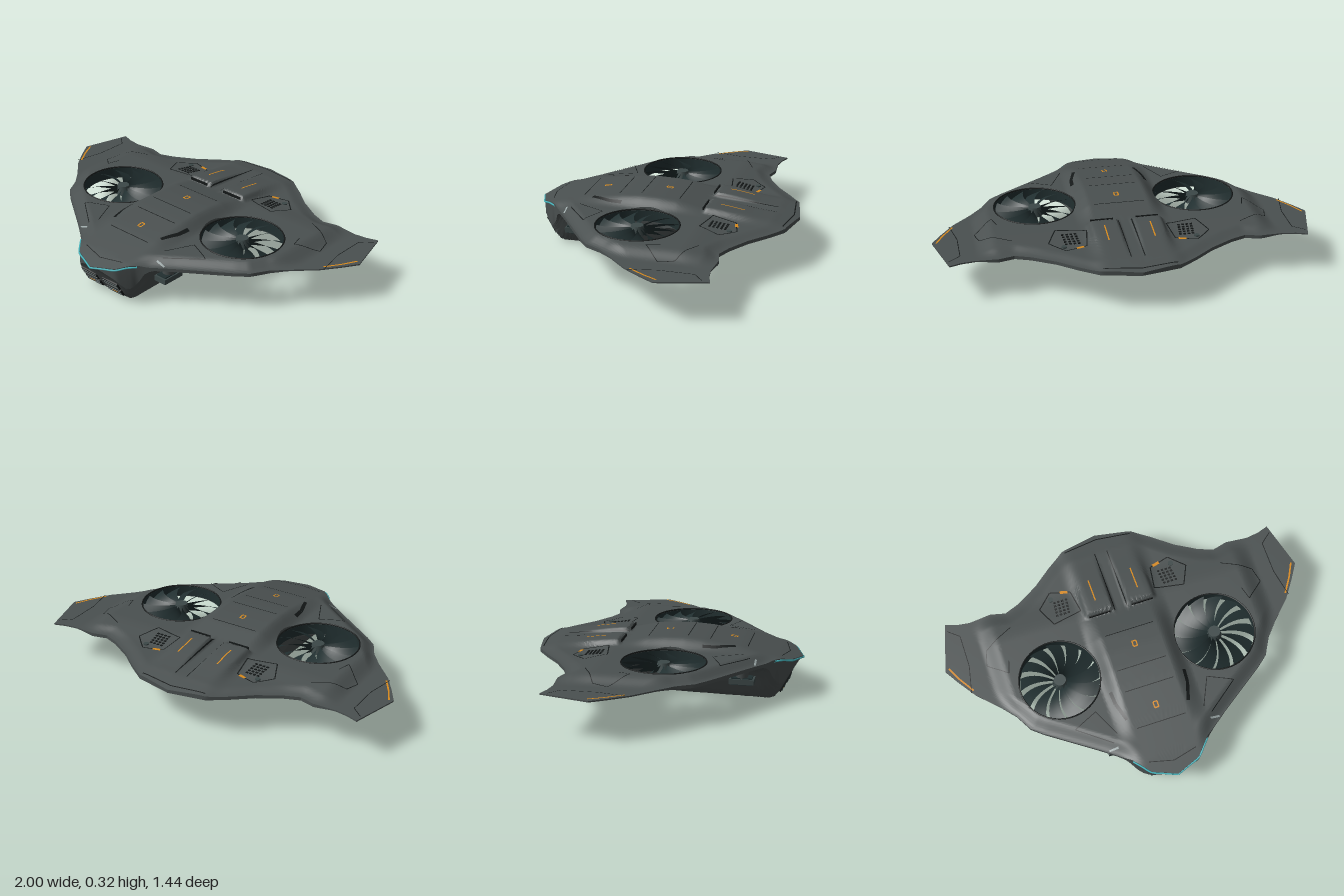
import * as THREE from 'three';
import { toCreasedNormals } from 'three/addons/utils/BufferGeometryUtils.js';

const paint = (name, color, side = THREE.FrontSide) => {
  const m = new THREE.MeshStandardMaterial({ color, side });
  m.name = name;
  return m;
};
const hullGrey = paint('hull grey', 0x4a5050);
const seamBlack = paint('seam black', 0x141818, THREE.DoubleSide);
const bladeTeal = paint('blade dark teal', 0x212f30, THREE.DoubleSide);
const podGrey = paint('pod slate', 0x3c4848);
const markOrange = paint('marking orange', 0xd88a1c, THREE.DoubleSide);
const lightCyan = paint('light cyan', 0x45b4bc, THREE.DoubleSide);
const paleGrey = paint('pale grey', 0x98a4a4, THREE.DoubleSide);

// Left half of the plan outline, nose to tail, as [x, z]
const OUTLINE = [[0, 0.71], [0.13, 0.66], [0.21, 0.57], [0.35, 0.465], [0.6, 0.29], [0.66, 0.24], [0.71, 0.15],
  [0.78, 0.07], [0.88, -0.03], [0.95, -0.13], [1, -0.21], [0.965, -0.34], [0.93, -0.47], [0.87, -0.45], [0.8, -0.44],
  [0.68, -0.45], [0.6, -0.43], [0.52, -0.46], [0.4, -0.53], [0.3, -0.61], [0.2, -0.68], [0, -0.72]];
const FAN = { x: 0.435, z: 0.04, r: 0.22 };

const smooth = (a, b, v) => {
  const t = Math.min(1, Math.max(0, (v - a) / (b - a)));
  return t * t * (3 - 2 * t);
};
const mix = (a, b, t) => a + (b - a) * t;
const table = (rows, v) => {
  if (v <= rows[0][0]) return rows[0][1];
  for (let i = 1; i < rows.length; i++) {
    const [a, p] = rows[i - 1], [b, q] = rows[i];
    if (v <= b) return mix(p, q, (v - a) / (b - a));
  }
  return rows[rows.length - 1][1];
};
const edgeDistance = (x, z) => {
  let best = 9;
  for (let i = 1; i < OUTLINE.length; i++) {
    const [ax, az] = OUTLINE[i - 1], [bx, bz] = OUTLINE[i];
    const dx = bx - ax, dz = bz - az;
    const t = Math.min(1, Math.max(0, ((x - ax) * dx + (z - az) * dz) / (dx * dx + dz * dz)));
    best = Math.min(best, Math.hypot(x - ax - dx * t, z - az - dz * t));
  }
  return best;
};

// Upper skin height: raised spine, flat wings, thin tips, twin rear humps
const SPINE = [[-0.72, 0.222], [-0.6, 0.247], [-0.24, 0.272], [-0.1, 0.305], [0, 0.313], [0.1, 0.315], [0.2, 0.308],
  [0.4, 0.28], [0.6, 0.235], [0.72, 0.2]];
function topY(x, z) {
  const ax = Math.abs(x), spine = table(SPINE, z);
  let wing = mix(0.222, mix(0.26, 0.238, smooth(-0.25, -0.45, z)), smooth(0, 0.08, edgeDistance(ax, z)));
  wing = Math.min(mix(wing, 0.219, smooth(0.68, 0.79, ax)), spine + 0.012);
  const hump = 0.024 * smooth(0.025, 0.05, ax) * smooth(0.21, 0.18, ax) * smooth(-0.235, -0.26, z) * smooth(-0.64, -0.3, z);
  return mix(wing, spine, smooth(0.25, 0.15, ax)) + hump;
}
// Lower skin height: flat wing underside flowing into the deep belly
const BELLY_SIDE = [[0, 0], [0.145, 0.003], [0.165, 0.02], [0.2, 0.1], [0.225, 0.16], [0.24, 0.178], [0.27, 0.19]];
const BELLY_LENGTH = [[-0.32, 0.19], [-0.27, 0.165], [-0.2, 0.09], [-0.15, 0.035], [-0.11, 0.018], [0, 0.011], [0.55, 0],
  [0.575, 0.008], [0.6, 0.035], [0.65, 0.12], [0.69, 0.175], [0.71, 0.19]];
function bottomY(x, z) {
  const ax = Math.abs(x);
  const depth = (1 - table(BELLY_SIDE, ax) / 0.19) * (1 - table(BELLY_LENGTH, z) / 0.19);
  let wing = mix(0.204, 0.19, smooth(0, 0.06, edgeDistance(ax, z)));
  wing = mix(wing, 0.212, smooth(0.68, 0.79, ax));
  return Math.min(wing - 0.19 * depth, topY(x, z) - 0.006);
}

// Half airframe: closed cross-sections on rays running from the fan duct to the outline
function halfHullGeometry() {
  const loop = [...OUTLINE, OUTLINE[0]], rim = [], rings = 44;
  for (let i = 1; i < loop.length; i++) {
    const [ax, az] = loop[i - 1], [bx, bz] = loop[i];
    const n = Math.ceil(Math.hypot(bx - ax, bz - az) / 0.025);
    for (let k = 0; k < n; k++) rim.push([mix(ax, bx, k / n), mix(az, bz, k / n)]);
  }
  const pos = [], index = [], size = 2 * (rings + 1);
  rim.forEach(([x, z], i) => {
    const d = Math.hypot(x - FAN.x, z - FAN.z);
    const sx = FAN.x + (x - FAN.x) / d * FAN.r, sz = FAN.z + (z - FAN.z) / d * FAN.r;
    for (let s = 0; s < size; s++) {
      const t = (s <= rings ? s : size - 1 - s) / rings;
      const px = mix(sx, x, t), pz = mix(sz, z, t);
      pos.push(px, s <= rings ? topY(px, pz) : bottomY(px, pz), pz);
      const s2 = (s + 1) % size, a = i * size, b = ((i + 1) % rim.length) * size;
      index.push(a + s, a + s2, b + s2, a + s, b + s2, b + s);
    }
  });
  const g = new THREE.BufferGeometry();
  g.setAttribute('position', new THREE.Float32BufferAttribute(pos, 3));
  g.setIndex(index);
  return toCreasedNormals(g, 0.6);
}

// Thin ribbon laid on the upper skin along [x, z] points
function ribbonGeometry(points, width, lift = 0.003) {
  const pos = [], index = [];
  for (let i = 1; i < points.length; i++) {
    const [ax, az] = points[i - 1], [bx, bz] = points[i];
    const len = Math.hypot(bx - ax, bz - az), n = Math.ceil(len / 0.02);
    const nx = -(bz - az) / len * width / 2, nz = (bx - ax) / len * width / 2;
    for (let k = 0; k <= n; k++) {
      const x = mix(ax, bx, k / n), z = mix(az, bz, k / n), v = pos.length / 3;
      for (const s of [1, -1]) pos.push(x + s * nx, topY(x + s * nx, z + s * nz) + lift, z + s * nz);
      if (k < n) index.push(v, v + 2, v + 1, v + 1, v + 2, v + 3);
    }
  }
  const g = new THREE.BufferGeometry();
  g.setAttribute('position', new THREE.Float32BufferAttribute(pos, 3));
  g.setIndex(index);
  g.computeVertexNormals();
  return g;
}

// Swept, pitched fan blade
function bladeGeometry(step) {
  const g = new THREE.PlaneGeometry(1, 1, 4, 8), p = g.attributes.position;
  for (let i = 0; i < p.count; i++) {
    const u = p.getX(i), v = p.getY(i) + 0.5, r = mix(0.03, 0.212, v);
    const a = u * step * mix(0.95, 0.8, v) + 0.25 * v * v;
    p.setXYZ(i, Math.cos(a) * r, u * 0.035, Math.sin(a) * r);
  }
  g.computeVertexNormals();
  return g;
}

export function createModel() {
  const root = new THREE.Group();
  root.name = 'fanAircraft';
  const add = (parent, name, geo, mat, x = 0, y = 0, z = 0) => {
    const m = new THREE.Mesh(geo, mat);
    m.name = name;
    m.position.set(x, y, z);
    parent.add(m);
    return m;
  };
  const box = (w, h, d) => new THREE.BoxGeometry(w, h, d);
  const hull = halfHullGeometry();
  const blades = 13, step = Math.PI * 2 / blades, blade = bladeGeometry(step);

  for (const side of [1, -1]) {
    const half = new THREE.Group();
    half.name = side > 0 ? 'leftHalf' : 'rightHalf';
    half.scale.x = side;
    root.add(half);
    add(half, 'hull', hull, hullGrey);

    // Lift fan
    const fan = new THREE.Group();
    fan.name = 'liftFan';
    fan.position.set(FAN.x, 0, FAN.z);
    half.add(fan);
    add(fan, 'duct', new THREE.CylinderGeometry(0.217, 0.217, 0.06, 64, 1, true), bladeTeal, 0, 0.225, 0);
    add(fan, 'ductRim', new THREE.TorusGeometry(0.218, 0.004, 6, 64), seamBlack, 0, 0.26, 0).rotation.x = Math.PI / 2;
    add(fan, 'hub', new THREE.CylinderGeometry(0.032, 0.042, 0.05, 32), podGrey, 0, 0.234, 0);
    for (let i = 0; i < blades; i++) add(fan, 'blade', blade, bladeTeal, 0, 0.232, 0).rotation.y = i * step;

    // Underslung pods
    for (const z of [0.42, -0.33]) {
      add(half, 'podStem', new THREE.CylinderGeometry(0.036, 0.03, 0.06, 20), hullGrey, 0.27, 0.17, z);
      add(half, 'podBody', box(0.075, 0.028, 0.13), podGrey, 0.27, 0.132, z);
      add(half, 'podCap', box(0.06, 0.006, 0.11), bladeTeal, 0.27, 0.149, z);
      add(half, 'podSole', box(0.06, 0.006, 0.11), bladeTeal, 0.27, 0.116, z);
    }

    // Nose grille
    const grille = new THREE.Group();
    grille.name = 'noseGrille';
    grille.position.set(0.075, 0.079, 0.627);
    grille.rotation.x = 0.507;
    half.add(grille);
    for (const y of [-0.027, 0.027]) {
      add(grille, 'grillePanel', box(0.112, 0.044, 0.008), seamBlack, 0, y, 0);
      for (const dy of [-0.011, 0.011]) add(grille, 'grilleSlat', box(0.1, 0.007, 0.008), podGrey, 0, y + dy, 0.004);
    }
    add(grille, 'grilleMark', box(0.035, 0.006, 0.006), markOrange, 0.008, -0.027, 0.005);

    // Rear hump intake and its seams
    add(half, 'humpIntake', box(0.12, 0.014, 0.006), seamBlack, 0.12, 0.283, -0.24);
    const lines = [
      ['spineSeam', [[0.035, -0.24], [0.035, -0.6]], 0.005],
      ['sideVent', [[0.205, 0.2], [0.2, 0.27], [0.17, 0.37]], 0.018],
      ['tipSeam', [[0.93, -0.43], [0.87, -0.38], [0.87, -0.2], [0.9, -0.05]], 0.004],
      ['wingSeam', [[0.6, -0.33], [0.76, -0.25], [0.78, -0.17], [0.68, -0.08], [0.66, -0.15]], 0.004],
      ['cheekSeam', [[0.24, 0.42], [0.31, 0.27], [0.44, 0.33], [0.27, 0.46]], 0.004],
      ['hatchFrame', [[0.21, -0.3], [0.23, -0.43], [0.34, -0.46], [0.42, -0.38], [0.37, -0.27], [0.21, -0.3]], 0.006],
      ['noseSeam', [[0, 0.64], [0.13, 0.61]], 0.004],
      ['tailSeam', [[0, -0.69], [0.19, -0.665]], 0.006],
    ];
    for (const [name, pts, w] of lines) add(half, name, ribbonGeometry(pts, w), seamBlack);

    // Dotted hatch vents
    for (let i = 0; i < 4; i++) for (let j = 0; j < 5; j++) {
      const x = 0.265 + i * 0.022 + j * 0.002, z = -0.395 + j * 0.02;
      add(half, 'hatchDot', box(0.013, 0.005, 0.01), seamBlack, x, topY(x, z) + 0.001, z);
    }
    add(half, 'hatchBolt', new THREE.CylinderGeometry(0.014, 0.014, 0.008, 16), podGrey, 0.345, topY(0.345, -0.42) + 0.002, -0.42);
    add(half, 'hatchMark', ribbonGeometry([[0.245, -0.435], [0.285, -0.445]], 0.016, 0.004), markOrange);

    // Painted marks and lights
    add(half, 'humpStripe', ribbonGeometry([[0.12, -0.45], [0.12, -0.32]], 0.007, 0.004), markOrange);
    add(half, 'tipStripe', ribbonGeometry([[0.978, -0.22], [0.94, -0.145], [0.885, -0.06]], 0.009), markOrange);
    add(half, 'cheekLight', ribbonGeometry([[0.255, 0.488], [0.305, 0.488]], 0.01), paleGrey);
    const glow = [[0.205, 0.58], [0.17, 0.62], [0.13, 0.662], [0.065, 0.687], [0, 0.712]]
      .map(([x, z]) => new THREE.Vector3(x, topY(x, z) - 0.007, z));
    add(half, 'noseLight', new THREE.TubeGeometry(new THREE.CatmullRomCurve3(glow), 24, 0.005, 6), lightCyan);
  }

  // Cross seams and framed marks on the spine
  for (const z of [0.43, 0.23, 0.11, -0.1]) add(root, 'crossSeam', ribbonGeometry([[-0.135, z], [0.135, z]], 0.004), seamBlack);
  for (const z of [-0.01, 0.34]) {
    const x = 0.011, h = 0.016;
    add(root, 'spineMark', ribbonGeometry([[-x, z - h], [x, z - h], [x, z + h], [-x, z + h], [-x, z - h]], 0.007, 0.004), markOrange);
  }
  return root;
}
